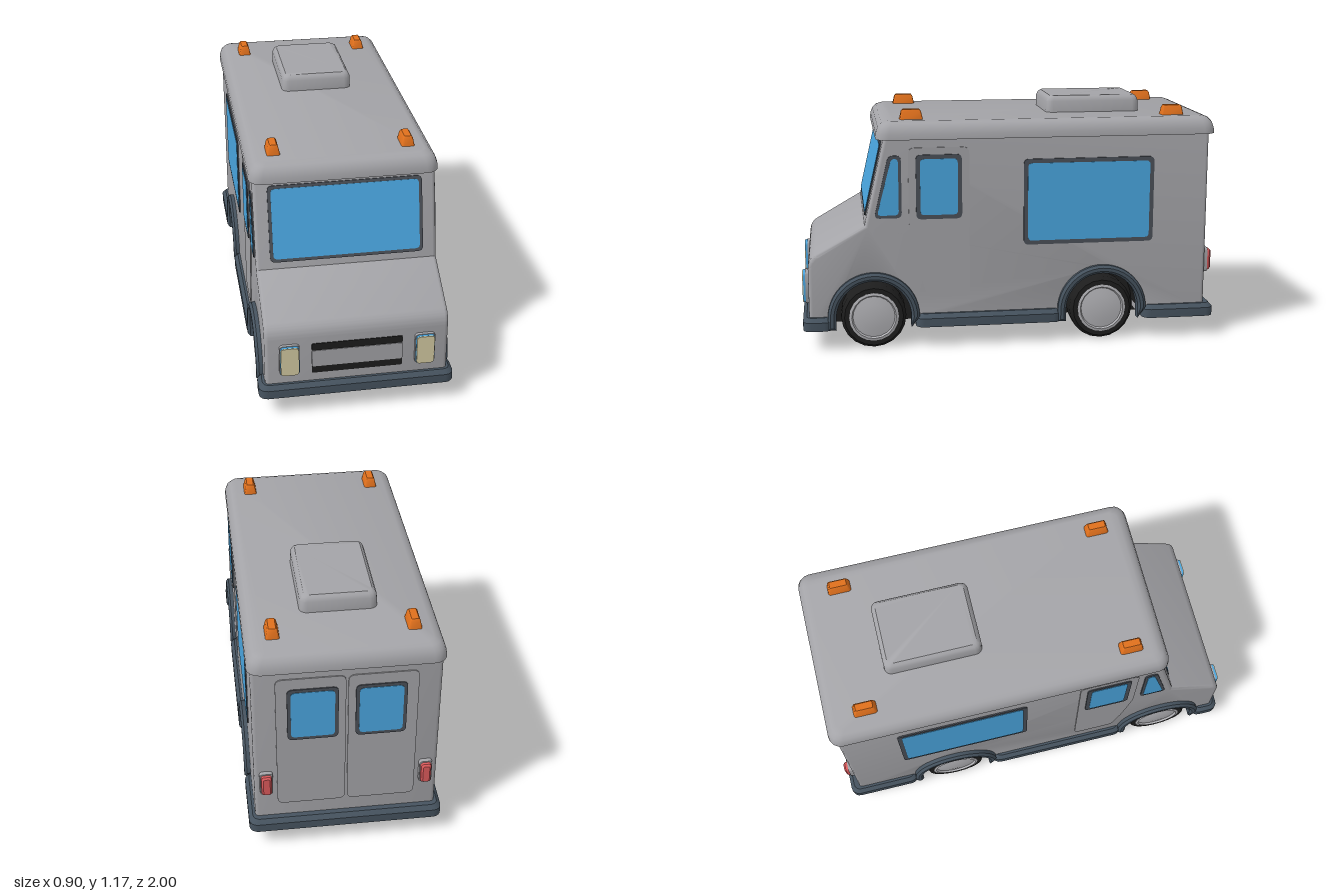
import * as THREE from 'three';
import { toCreasedNormals } from 'three/addons/utils/BufferGeometryUtils.js';

const mat = (name, color) => {
  const m = new THREE.MeshStandardMaterial({ color });
  m.name = name;
  return m;
};
const M = {
  body: mat('body grey', 0xa4a4a8),
  hub: mat('hub grey', 0xb4b4b8),
  trim: mat('dark slate trim', 0x46535f),
  frame: mat('window frame', 0x4b5058),
  glass: mat('blue glass', 0x4aa6e0),
  black: mat('black', 0x1d1d1d),
  orange: mat('marker orange', 0xe0701c),
  red: mat('tail light red', 0xdc5a5c),
  cream: mat('headlight cream', 0xd4caa2),
};
M.black.side = THREE.DoubleSide;

const HALF = 0.42, BACK = -0.957, WHEELS = [0.665, -0.44], AXLE = 0.155;

function add(parent, name, geo, material, x = 0, y = 0, z = 0) {
  const m = new THREE.Mesh(geo, material);
  m.name = name;
  m.position.set(x, y, z);
  parent.add(m);
  return m;
}

// Rounded slab standing on y: rings are [height, inset] pairs
function loft(w, d, r, rings) {
  const k = 4, pos = [], idx = [];
  for (const [y, inset] of rings) {
    const hw = w / 2 - inset, hd = d / 2 - inset, rr = Math.max(r - inset * 0.5, 0.004);
    for (let c = 0; c < 4; c++) {
      const sx = c === 0 || c === 3 ? 1 : -1, sz = c < 2 ? 1 : -1;
      for (let i = 0; i <= k; i++) {
        const a = (c + i / k) * Math.PI / 2;
        pos.push(sx * (hw - rr) + rr * Math.cos(a), y, sz * (hd - rr) + rr * Math.sin(a));
      }
    }
  }
  const n = 4 * (k + 1), last = (rings.length - 1) * n;
  for (let s = 0; s < rings.length - 1; s++) {
    for (let i = 0; i < n; i++) {
      const a = s * n + i, b = s * n + (i + 1) % n;
      idx.push(a, a + n, b, b, a + n, b + n);
    }
  }
  for (let i = 1; i < n - 1; i++) {
    idx.push(0, i, i + 1, last, last + i + 1, last + i);
  }
  const g = new THREE.BufferGeometry();
  g.setAttribute('position', new THREE.Float32BufferAttribute(pos, 3));
  g.setIndex(idx);
  return toCreasedNormals(g, 0.6);
}

// Polygon with softened corners
function poly(pts, r) {
  const s = new THREE.Shape(), n = pts.length;
  const v = pts.map(p => new THREE.Vector2(p[0], p[1]));
  for (let i = 0; i < n; i++) {
    const p = v[i], prev = v[(i + n - 1) % n], next = v[(i + 1) % n];
    const a = p.clone().add(prev.clone().sub(p).setLength(r));
    const b = p.clone().add(next.clone().sub(p).setLength(r));
    if (i) s.lineTo(a.x, a.y); else s.moveTo(a.x, a.y);
    s.quadraticCurveTo(p.x, p.y, b.x, b.y);
  }
  s.closePath();
  return s;
}
const rect = (x0, x1, y0, y1) => [[x0, y0], [x1, y0], [x1, y1], [x0, y1]];
const plate = (shape, depth) =>
  new THREE.ExtrudeGeometry(shape, { depth, bevelEnabled: false, curveSegments: 4 });

// Framed window facing local +z
function windowPanel(parent, name, pts, t = 0.02) {
  const g = new THREE.Group();
  g.name = name;
  const cx = pts.reduce((s, p) => s + p[0], 0) / pts.length;
  const cy = pts.reduce((s, p) => s + p[1], 0) / pts.length;
  const inner = pts.map(([x, y]) => [x + Math.sign(cx - x) * t, y + Math.sign(cy - y) * t]);
  add(g, 'windowFrame', plate(poly(pts, 0.025), 0.006), M.frame);
  add(g, 'windowGlass', plate(poly(inner, 0.02), 0.008), M.glass);
  parent.add(g);
  return g;
}

export function createModel() {
  const van = new THREE.Group();
  van.name = 'stepVan';

  // Body: side profile (z, y) with wheel arches cut out, extruded across
  const p = new THREE.Shape();
  p.moveTo(BACK, 0.12);
  for (const z of [...WHEELS].reverse()) {
    p.lineTo(z - 0.185, 0.12);
    p.absarc(z, AXLE, 0.185, Math.PI, 0, true);
    p.lineTo(z + 0.185, 0.12);
  }
  p.lineTo(0.97, 0.12);
  p.lineTo(0.97, 0.395);
  p.quadraticCurveTo(0.968, 0.445, 0.93, 0.467);
  p.lineTo(0.70, 0.60);
  p.lineTo(0.60, 1.03);
  p.lineTo(BACK, 1.03);
  p.closePath();
  const bevel = 0.018;
  const body = new THREE.ExtrudeGeometry(p, {
    depth: 2 * (HALF - bevel), bevelThickness: bevel, bevelSize: bevel,
    bevelOffset: -bevel, bevelSegments: 3, curveSegments: 14,
  });
  body.translate(0, 0, -(HALF - bevel));
  body.rotateY(-Math.PI / 2);
  add(van, 'body', toCreasedNormals(body, 0.6), M.body);

  // Roof cap, hatch and marker lights
  add(van, 'roof', loft(0.87, 1.63, 0.06,
    [[1.003, 0], [1.03, 0.002], [1.058, 0.012], [1.077, 0.03], [1.086, 0.055]]), M.body, 0, 0, -0.175);
  add(van, 'roofHatch', loft(0.35, 0.466, 0.035,
    [[1.08, 0], [1.14, 0.002], [1.157, 0.01], [1.166, 0.022]]), M.body, 0, 0, -0.437);
  for (const x of [-0.31, 0.31]) for (const z of [0.468, -0.795]) {
    add(van, 'markerLight', loft(0.064, 0.112, 0.012,
      [[1.08, 0], [1.122, 0.009], [1.132, 0.016]]), M.orange, x, 0, z);
  }

  // Lower skirt in three runs, with a black floor below
  for (const [z0, z1] of [[0.86, 1], [-0.24, 0.465], [-1, -0.645]]) {
    const z = (z0 + z1) / 2, d = z1 - z0;
    add(van, 'skirt', loft(0.9, d, 0.04, [[0.1, 0], [0.142, 0], [0.162, 0.018]]), M.trim, 0, 0, z);
    add(van, 'floorPlate', loft(0.88, d - 0.02, 0.03, [[0.097, 0], [0.11, 0]]), M.black, 0, 0, z);
  }
  add(van, 'chassis', new THREE.BoxGeometry(0.58, 0.25, 1.8), M.black, 0, 0.222, 0);

  // Side parts, mirrored: shapes are given in (z, y)
  for (const s of [1, -1]) {
    const side = new THREE.Group();
    side.name = s > 0 ? 'leftSide' : 'rightSide';
    side.rotation.y = s * Math.PI / 2;
    side.position.x = s * HALF;
    van.add(side);
    const flip = pts => pts.map(([z, y]) => [-s * z, y]);
    windowPanel(side, 'sideWindow', flip(rect(-0.687, -0.055, 0.485, 0.9)));
    windowPanel(side, 'quarterWindow',
      flip([[0.655, 0.633], [0.525, 0.633], [0.525, 0.93], [0.585, 0.93]]), 0.014);
    add(side, 'sideDoor', plate(poly(flip(
      [[0.205, 0.24], [0.405, 0.24], [0.45, 0.39], [0.492, 0.6], [0.492, 0.965], [0.205, 0.965]]),
      0.03), 0.005), M.body);
    windowPanel(side, 'doorWindow', flip(rect(0.24, 0.457, 0.625, 0.932))).position.z = 0.004;

    for (const z of WHEELS) {
      // Wheel arch flare
      const a = new THREE.Shape();
      a.moveTo(0.218, -0.055);
      a.absarc(0, 0, 0.218, 0, Math.PI, false);
      a.lineTo(-0.218, -0.055);
      a.lineTo(-0.178, -0.055);
      a.absarc(0, 0, 0.178, Math.PI, 0, true);
      a.lineTo(0.178, -0.055);
      a.closePath();
      const arch = new THREE.ExtrudeGeometry(a, {
        depth: 0.05, bevelThickness: 0.012, bevelSize: 0.012, bevelOffset: -0.012,
        bevelSegments: 1, curveSegments: 12,
      });
      add(side, 'wheelArch', toCreasedNormals(arch, 0.6), M.trim, -s * z, AXLE, -0.032);

      // Wheel well lining
      const well = new THREE.CylinderGeometry(0.181, 0.181, 0.15, 14, 1, true, 0, Math.PI);
      well.rotateZ(Math.PI / 2);
      add(van, 'wheelWell', well, M.black, s * 0.355, AXLE, z);

      // Tyre and hub, turned about the axle
      const wheel = new THREE.Group();
      wheel.name = 'wheel';
      wheel.position.set(s * 0.3, AXLE, z);
      wheel.rotation.z = -s * Math.PI / 2;
      const turn = pts => toCreasedNormals(
        new THREE.LatheGeometry(pts.map(q => new THREE.Vector2(...q)), 20), 0.6);
      add(wheel, 'tyre', turn([[0, 0], [0.135, 0], [0.155, 0.018], [0.155, 0.103],
        [0.14, 0.125], [0.115, 0.125], [0.11, 0.11]]), M.black);
      add(wheel, 'hub', turn([[0.118, 0.105], [0.118, 0.127], [0.106, 0.13], [0.1, 0.12],
        [0.06, 0.126], [0, 0.129]]), M.hub);
      van.add(wheel);
    }

    // Headlight: housing, lens rim and cream face
    const head = new THREE.Group();
    head.name = 'headlight';
    head.position.set(s * 0.31, 0.29, 0.965);
    head.rotation.x = Math.PI / 2;
    add(head, 'headlightHousing', loft(0.092, 0.155, 0.016, [[0, 0], [0.02, 0]]), M.body);
    add(head, 'headlightRim', loft(0.086, 0.149, 0.015, [[0.018, 0], [0.03, 0.001]]), M.glass);
    add(head, 'headlightFace', loft(0.084, 0.147, 0.015, [[0.028, 0], [0.034, 0.002]]), M.cream);
    van.add(head);

    // Tail light
    const tail = new THREE.Group();
    tail.name = 'tailLight';
    tail.position.set(s * 0.365, 0.37, BACK + 0.005);
    tail.rotation.x = -Math.PI / 2;
    add(tail, 'tailLightHousing', loft(0.062, 0.125, 0.014, [[0, 0], [0.024, 0.002]]), M.body);
    add(tail, 'tailLightLens', loft(0.05, 0.11, 0.014, [[0.02, 0], [0.036, 0.002], [0.044, 0.01]]), M.red);
    van.add(tail);
  }

  // Windscreen lying on the sloped front
  const tilt = Math.atan2(0.1, 0.43);
  const screen = windowPanel(van, 'windscreen', rect(-0.355, 0.355, 0.032, 0.392), 0.015);
  screen.position.set(0, 0.6, 0.7);
  screen.rotation.x = -tilt;

  // Grille slots with a raised bar between them
  for (const y of [0.222, 0.343]) {
    add(van, 'grilleSlot', plate(poly(rect(-0.208, 0.208, -0.018, 0.018), 0.008), 0.004), M.black, 0, y, 0.969);
  }
  add(van, 'grilleBar', plate(poly(rect(-0.208, 0.208, 0.24, 0.325), 0.008), 0.006), M.body, 0, 0, 0.97);

  // Rear doors with windows
  const rear = new THREE.Group();
  rear.name = 'rearDoors';
  rear.position.z = BACK;
  rear.rotation.y = Math.PI;
  for (const s of [1, -1]) {
    const span = (a, b) => (s > 0 ? [a, b] : [-b, -a]);
    add(rear, 'rearDoor', plate(poly(rect(...span(0.005, 0.315), 0.235, 0.95), 0.03), 0.005), M.body);
    windowPanel(rear, 'rearWindow', rect(...span(0.038, 0.265), 0.615, 0.895), 0.016).position.z = 0.004;
  }
  van.add(rear);

  return van;
}
